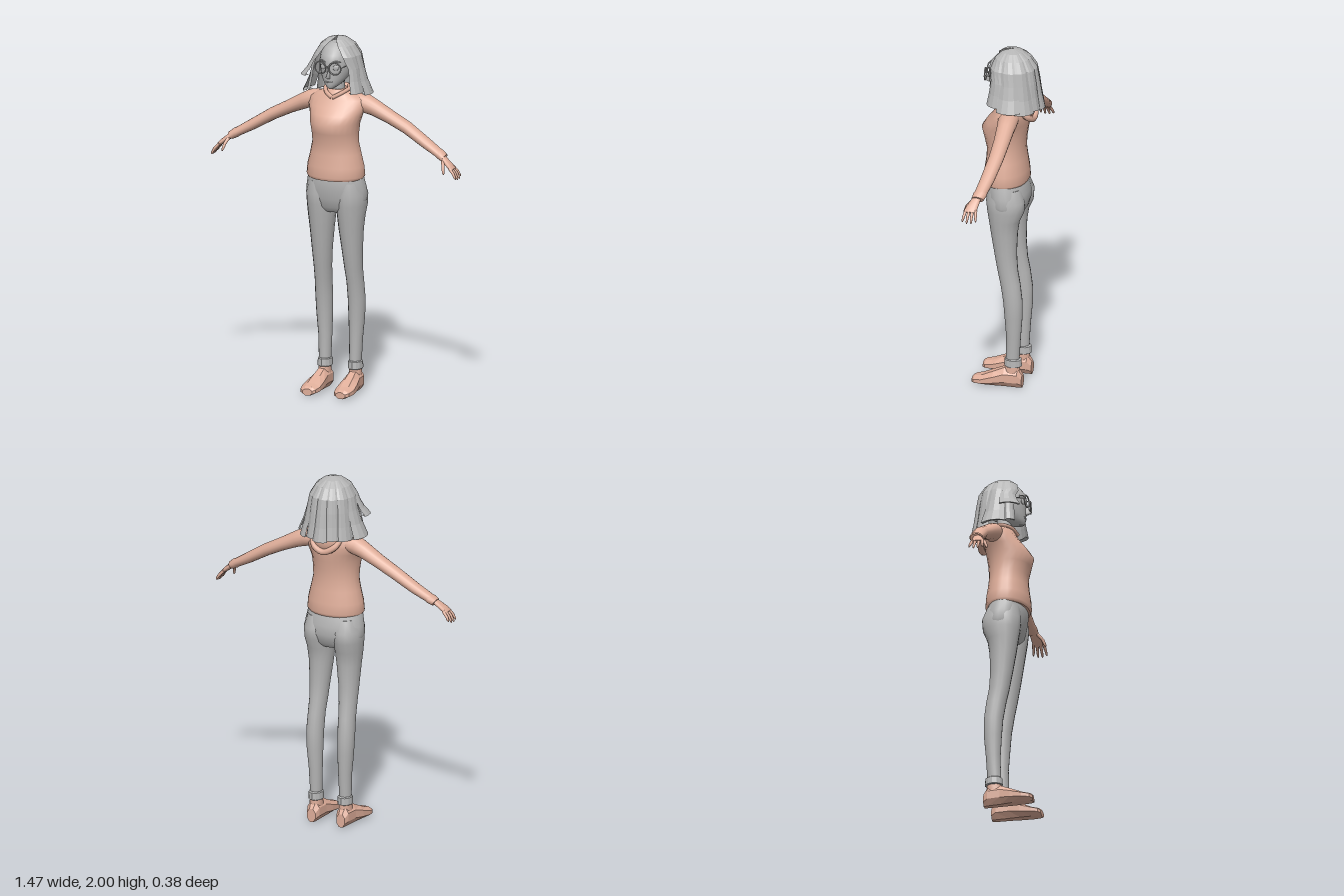
import * as THREE from 'three';

const grey = new THREE.MeshStandardMaterial({ color: 0xb6b6b6, side: THREE.DoubleSide });
grey.name = 'grey';
const pink = new THREE.MeshStandardMaterial({ color: 0xdfae9a });
pink.name = 'soft pink';

// Loft through rings [x, y, z, radius along z, radius across the path]
function loft(rings, n = 16, flat = false, phase = 0) {
  const pos = [], idx = [], grow = phase ? 1 / Math.cos(phase) : 1;
  rings.forEach(([x, y, z, ra, rb], i) => {
    const p = rings[Math.max(i - 1, 0)], q = rings[Math.min(i + 1, rings.length - 1)];
    const t = new THREE.Vector2(q[0] - p[0], q[1] - p[1]).normalize();
    for (let j = 0; j < n; j++) {
      const a = (j / n) * Math.PI * 2 + phase, s = Math.sin(a) * rb * grow;
      pos.push(x + t.y * s, y - t.x * s, z + Math.cos(a) * ra * grow);
    }
  });
  for (let i = 0; i < rings.length - 1; i++) for (let j = 0; j < n; j++) {
    const a = i * n + j, b = i * n + (j + 1) % n;
    idx.push(a, b, b + n, a, b + n, a + n);
  }
  // separate end caps
  [0, rings.length - 1].forEach((r, end) => {
    const base = pos.length / 3;
    pos.push(...rings[r].slice(0, 3));
    for (let j = 0; j < n; j++) pos.push(...pos.slice((r * n + j) * 3, (r * n + j) * 3 + 3));
    for (let j = 0; j < n; j++) {
      const a = base + 1 + j, b = base + 1 + (j + 1) % n;
      if (end) idx.push(base, a, b); else idx.push(base, b, a);
    }
  });
  return finish(pos, idx, flat);
}

function finish(pos, idx, flat) {
  let g = new THREE.BufferGeometry();
  g.setAttribute('position', new THREE.Float32BufferAttribute(pos, 3));
  g.setIndex(idx);
  if (flat) g = g.toNonIndexed();
  g.computeVertexNormals();
  return g;
}

// Upright ring from height, half width, front z, back z and centre x
const ring = (y, hw, zf, zb, x = 0) => [x, y, (zf + zb) / 2, (zf - zb) / 2, hw];

function add(group, name, geometry, material, x = 0, y = 0, z = 0) {
  const m = new THREE.Mesh(geometry, material);
  m.name = name;
  m.position.set(x, y, z);
  group.add(m);
  return m;
}

const tube = (pts, r, n = 6) => new THREE.TubeGeometry(
  new THREE.CatmullRomCurve3(pts.map(p => new THREE.Vector3(...p))), 16, r, n);

// One hair lock: a bulged sheet from the crown, angles in degrees from the front
function hairLock(a0, a1, b0, b1, endY, flare) {
  const profile = [[2, 0.004], [1.985, 0.055], [1.955, 0.095], [1.9, 0.128], [1.82, 0.14], [1.75, 0.148], [1.68, 0.158]];
  const pos = [], idx = [], cols = 4;
  const rows = profile.map(([y, r], i) => {
    const k = Math.max(0, (i - 3) / 3);
    return [i > 3 ? 1.9 + (endY - 1.9) * k : y, r + flare * k * k, Math.min(1, i / 4)];
  });
  const last = rows[rows.length - 1];
  rows.push([last[0] + 0.006, last[1] * 0.88, 1]);
  rows.forEach(([y, r, t], i) => {
    for (let j = 0; j <= cols; j++) {
      const u = j / cols;
      const a = THREE.MathUtils.degToRad((a0 + (b0 - a0) * t) * (1 - u) + (a1 + (b1 - a1) * t) * u);
      const rr = r * (0.95 + 0.07 * Math.sin(Math.PI * u));
      pos.push(Math.sin(a) * rr, y, Math.cos(a) * rr * 1.08 - 0.015);
      if (i && j) {
        const c = i * (cols + 1) + j, up = c - cols - 1;
        idx.push(up - 1, c - 1, c, up - 1, c, up);
      }
    }
  });
  return finish(pos, idx, true);
}

// Everything that exists once per side, built for +x
function buildSide() {
  const g = new THREE.Group();
  add(g, 'sleeve', loft([
    [0.1, 1.635, -0.035, 0.05, 0.045], [0.16, 1.625, -0.035, 0.056, 0.052], [0.21, 1.605, -0.038, 0.05, 0.045],
    [0.3, 1.562, -0.042, 0.045, 0.037], [0.4, 1.512, -0.042, 0.042, 0.034], [0.52, 1.44, -0.03, 0.039, 0.03],
    [0.6, 1.395, -0.018, 0.035, 0.025], [0.61, 1.389, -0.016, 0.038, 0.027], [0.638, 1.372, -0.01, 0.034, 0.023]]), pink);
  add(g, 'palm', loft([
    [0.62, 1.384, -0.01, 0.022, 0.016], [0.645, 1.365, 0, 0.027, 0.015],
    [0.68, 1.338, 0.01, 0.034, 0.014], [0.702, 1.318, 0.012, 0.032, 0.009]], 12), pink);
  for (let i = 0; i < 4; i++) {
    const z = 0.038 - i * 0.018, out = (1.5 - i) * 0.004, short = [0.006, 0, 0.002, 0.012][i];
    add(g, 'finger', loft([
      [0.688, 1.33, z, 0.009, 0.009], [0.715, 1.3, z + out, 0.008, 0.008],
      [0.73 - short * 0.5, 1.272 + short, z + out * 1.6, 0.006, 0.006],
      [0.734 - short * 0.5, 1.264 + short, z + out * 1.7, 0.002, 0.002]], 8), pink);
  }
  add(g, 'thumb', loft([
    [0.64, 1.365, 0.015, 0.012, 0.01], [0.653, 1.335, 0.043, 0.01, 0.009],
    [0.66, 1.305, 0.055, 0.008, 0.007], [0.664, 1.294, 0.058, 0.003, 0.003]], 8), pink);

  add(g, 'trouserLeg', loft([
    ring(0.13, 0.032, -0.005, -0.08, 0.091), ring(0.3, 0.038, -0.008, -0.09, 0.092), ring(0.42, 0.045, 0, -0.1, 0.096),
    ring(0.52, 0.048, 0.008, -0.1, 0.097), ring(0.62, 0.047, 0.025, -0.088, 0.095), ring(0.7, 0.05, 0.042, -0.073, 0.092),
    ring(0.8, 0.057, 0.06, -0.066, 0.09), ring(0.92, 0.068, 0.08, -0.07, 0.087), ring(1.0, 0.077, 0.092, -0.082, 0.087),
    ring(1.06, 0.084, 0.102, -0.108, 0.087), ring(1.12, 0.086, 0.108, -0.112, 0.088), ring(1.19, 0.07, 0.1, -0.085, 0.085)]), grey);
  add(g, 'trouserCuff', loft([
    ring(0.122, 0.036, 0.0, -0.088, 0.091), ring(0.126, 0.041, 0.005, -0.096, 0.091),
    ring(0.165, 0.039, 0.002, -0.094, 0.091), ring(0.17, 0.034, -0.003, -0.085, 0.091)], 12, true), grey);
  add(g, 'ankle', loft([ring(0.07, 0.036, 0.01, -0.088, 0.092), ring(0.125, 0.034, -0.002, -0.085, 0.091)], 12), pink);
  // shoe is lofted upright, then tipped so it points forward
  const shoe = [[-0.1, 0.075, 0.026, 0.092], [-0.075, 0.112, 0.037, 0.092], [0, 0.112, 0.041, 0.094], [0.06, 0.085, 0.05, 0.097],
    [0.125, 0.056, 0.054, 0.1], [0.165, 0.046, 0.045, 0.1], [0.18, 0.036, 0.028, 0.099]]
    .map(([z, h, hw, x]) => [x, z, -h / 2, h / 2, hw]);
  add(g, 'shoe', loft(shoe, 8, true, Math.PI / 8), pink).rotation.x = Math.PI / 2;

  add(g, 'collarFlap', tube([[0.045, 1.71, -0.06], [0.068, 1.708, -0.01], [0.045, 1.69, 0.045], [0, 1.665, 0.068]], 0.012), pink);

  // glasses and face details
  add(g, 'glassesRim', new THREE.TorusGeometry(0.034, 0.004, 6, 24), grey, 0.043, 1.845, 0.128).rotation.y = 0.15;
  add(g, 'glassesTemple', tube([[0.077, 1.85, 0.122], [0.093, 1.855, 0.06], [0.094, 1.85, 0]], 0.003), grey);
  const eye = add(g, 'eye', new THREE.SphereGeometry(0.017, 12, 8), grey, 0.04, 1.845, 0.106);
  eye.scale.set(1, 0.85, 0.25);
  eye.rotation.y = 0.4;
  add(g, 'eyebrow', tube([[0.018, 1.874, 0.117], [0.042, 1.882, 0.108], [0.064, 1.874, 0.09]], 0.003), grey);
  return g;
}

export function createModel() {
  const model = new THREE.Group();
  const left = buildSide();
  left.name = 'leftSide';
  const right = left.clone();
  right.name = 'rightSide';
  right.scale.x = -1;
  model.add(left, right);

  add(model, 'sweater', loft([
    ring(1.208, 0.155, 0.132, -0.1), ring(1.225, 0.167, 0.14, -0.11), ring(1.28, 0.162, 0.136, -0.106),
    ring(1.35, 0.145, 0.126, -0.096), ring(1.41, 0.132, 0.125, -0.09), ring(1.47, 0.134, 0.14, -0.094),
    ring(1.525, 0.141, 0.154, -0.102), ring(1.57, 0.152, 0.125, -0.11), ring(1.61, 0.168, 0.094, -0.112),
    ring(1.65, 0.165, 0.066, -0.108), ring(1.675, 0.125, 0.056, -0.1), ring(1.695, 0.07, 0.045, -0.085),
    ring(1.705, 0.05, 0.035, -0.07)], 24), pink);
  add(model, 'hood', new THREE.SphereGeometry(1, 20, 14), pink, 0, 1.65, -0.1).scale.set(0.085, 0.065, 0.04);
  add(model, 'hoodRim', tube([[-0.085, 1.69, -0.06], [-0.066, 1.625, -0.122], [0, 1.592, -0.135],
    [0.066, 1.625, -0.122], [0.085, 1.69, -0.06]], 0.018, 8), pink);
  add(model, 'trouserHips', loft([
    ring(1.02, 0.125, 0.07, -0.07), ring(1.05, 0.163, 0.095, -0.098), ring(1.1, 0.177, 0.108, -0.113),
    ring(1.15, 0.174, 0.118, -0.112), ring(1.2, 0.164, 0.12, -0.1), ring(1.235, 0.155, 0.115, -0.09)], 24), grey);

  // head
  add(model, 'neck', loft([ring(1.66, 0.045, 0.035, -0.06), ring(1.7, 0.038, 0.032, -0.05), ring(1.78, 0.04, 0.04, -0.05)]), grey);
  add(model, 'head', loft([
    ring(1.722, 0.014, 0.1, 0.05), ring(1.732, 0.03, 0.108, 0.02), ring(1.75, 0.05, 0.111, -0.03),
    ring(1.78, 0.072, 0.113, -0.08), ring(1.82, 0.086, 0.114, -0.11), ring(1.87, 0.092, 0.118, -0.13),
    ring(1.91, 0.086, 0.108, -0.12), ring(1.945, 0.067, 0.08, -0.09), ring(1.968, 0.035, 0.04, -0.05)], 24), grey);
  add(model, 'nose', loft([ring(1.782, 0.008, 0.124, 0.1), ring(1.792, 0.011, 0.145, 0.1),
    ring(1.81, 0.007, 0.132, 0.1), ring(1.85, 0.005, 0.119, 0.1)], 8), grey);
  add(model, 'mouth', tube([[-0.02, 1.762, 0.107], [0, 1.761, 0.112], [0.02, 1.762, 0.107]], 0.004), grey);
  add(model, 'glassesBridge', tube([[-0.011, 1.85, 0.133], [0, 1.854, 0.137], [0.011, 1.85, 0.133]], 0.003), grey);

  // hair locks: crown angles, tip angles, tip height, outward flare
  const hair = new THREE.Group();
  hair.name = 'hair';
  [[0, 70, 50, 86, 1.7, 0.012], [62, 112, 78, 118, 1.685, 0.035], [106, 146, 108, 146, 1.67, 0.02],
    [140, 172, 140, 172, 1.675, 0.004], [166, 198, 166, 198, 1.665, 0.01], [192, 224, 192, 224, 1.675, 0.004],
    [218, 256, 218, 254, 1.67, 0.006], [248, 300, 246, 286, 1.68, 0.045], [290, 360, 276, 310, 1.785, 0.04],
    [290, 340, 284, 306, 1.7, 0.006]]
    .forEach(l => add(hair, 'hairLock', hairLock(...l), grey));
  model.add(hair);
  return model;
}
